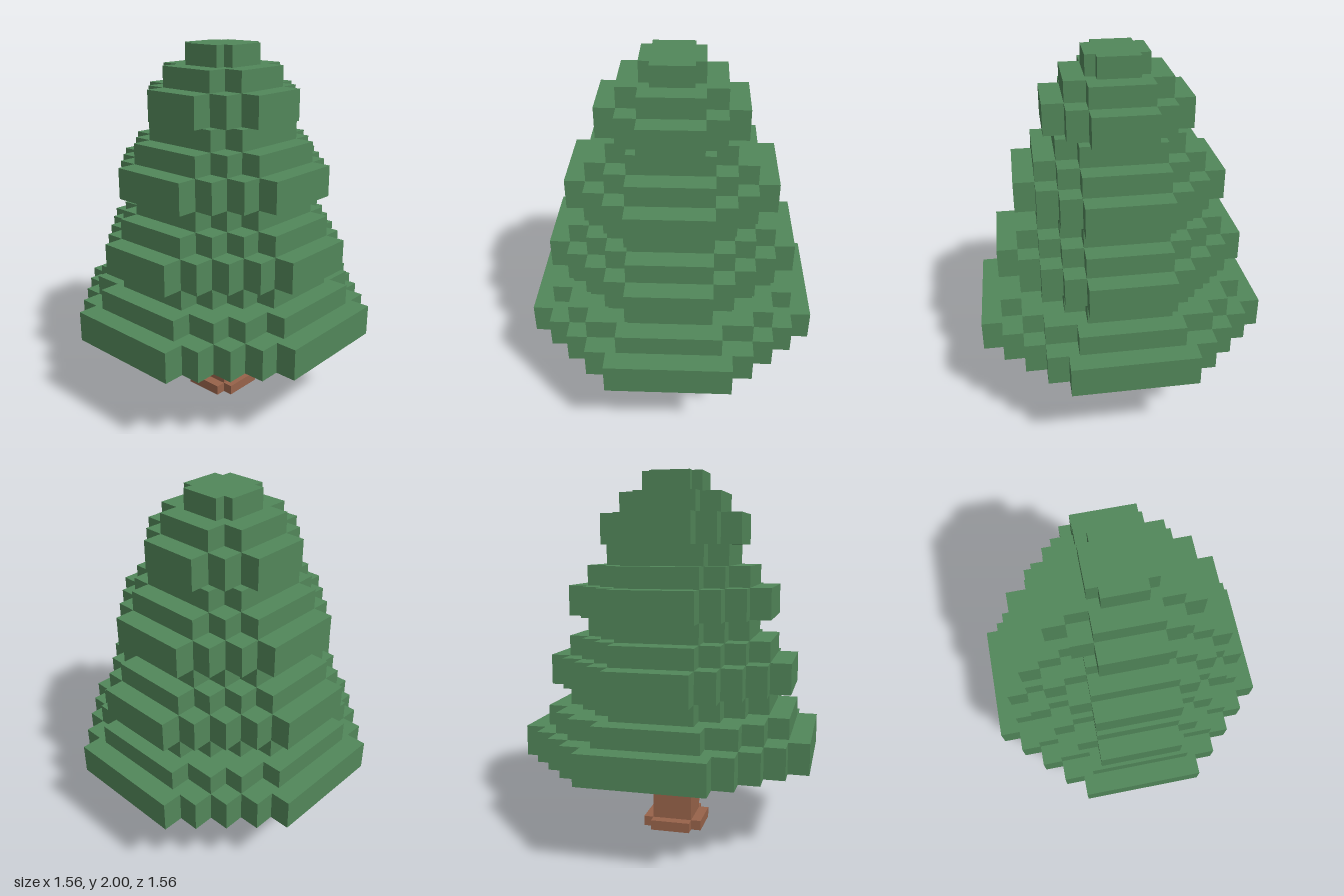
import * as THREE from 'three';

const U = 1 / 18; // size of one voxel

// Outer corners of one quadrant, turned four times into a stepped round slab
function steppedSlab(corners, y0, y1) {
  const quadrant = [];
  corners.forEach(([x, z], i) => {
    if (i > 0) quadrant.push([x, corners[i - 1][1]]); // inner notch
    quadrant.push([x, z]);
  });
  const points = [];
  for (let k = 0; k < 4; k++) {
    for (const [x, z] of quadrant) {
      const [px, py] = [[x, z], [-z, x], [-x, -z], [z, -x]][k];
      points.push(new THREE.Vector2(px * U, py * U));
    }
  }
  const geometry = new THREE.ExtrudeGeometry(new THREE.Shape(points), {
    depth: (y1 - y0) * U, bevelEnabled: false,
  });
  geometry.rotateX(-Math.PI / 2);
  geometry.translate(0, y0 * U, 0);
  return geometry;
}

// Corners running diagonally from (outer, inner) to (inner, outer)
function diagonal(outer, inner) {
  const corners = [];
  for (let i = 0; i <= outer - inner; i += 2) corners.push([outer - i, inner + i]);
  return corners;
}

export function createModel() {
  const green = new THREE.MeshStandardMaterial({ color: 0x52875a });
  green.name = 'leaf green';
  const brown = new THREE.MeshStandardMaterial({ color: 0x98634a });
  brown.name = 'bark brown';

  const tree = new THREE.Group();
  tree.name = 'tree';
  const add = (parent, name, geometry, material) => {
    const mesh = new THREE.Mesh(geometry, material);
    mesh.name = name;
    parent.add(mesh);
  };

  // Trunk and its stepped foot
  add(tree, 'trunkFoot', steppedSlab([[3, 2], [2, 3]], 0, 1), brown);
  add(tree, 'trunk', steppedSlab([[2, 2]], 1, 8), brown);

  // Foliage layers: bottom, top, corners
  const foliage = new THREE.Group();
  foliage.name = 'foliage';
  tree.add(foliage);
  const layers = [
    [8, 11, diagonal(14, 6)],
    [11, 13, [[12, 5], [10, 8], [8, 10], [5, 12]]],
    [13, 15, diagonal(10, 4)],
    [15, 18, diagonal(12, 4)],
    [18, 20, diagonal(10, 4)],
    [20, 22, diagonal(8, 4)],
    [22, 25, diagonal(10, 4)],
    [25, 27, diagonal(8, 4)],
    [27, 29, diagonal(6, 4)],
    [29, 32, diagonal(7, 3)],
    [32, 34, diagonal(5, 3)],
    [34, 36, [[3, 2], [2, 3]]],
  ];
  layers.forEach(([y0, y1, corners], i) => {
    add(foliage, `foliageLayer${i + 1}`, steppedSlab(corners, y0, y1), green);
  });

  return tree;
}
